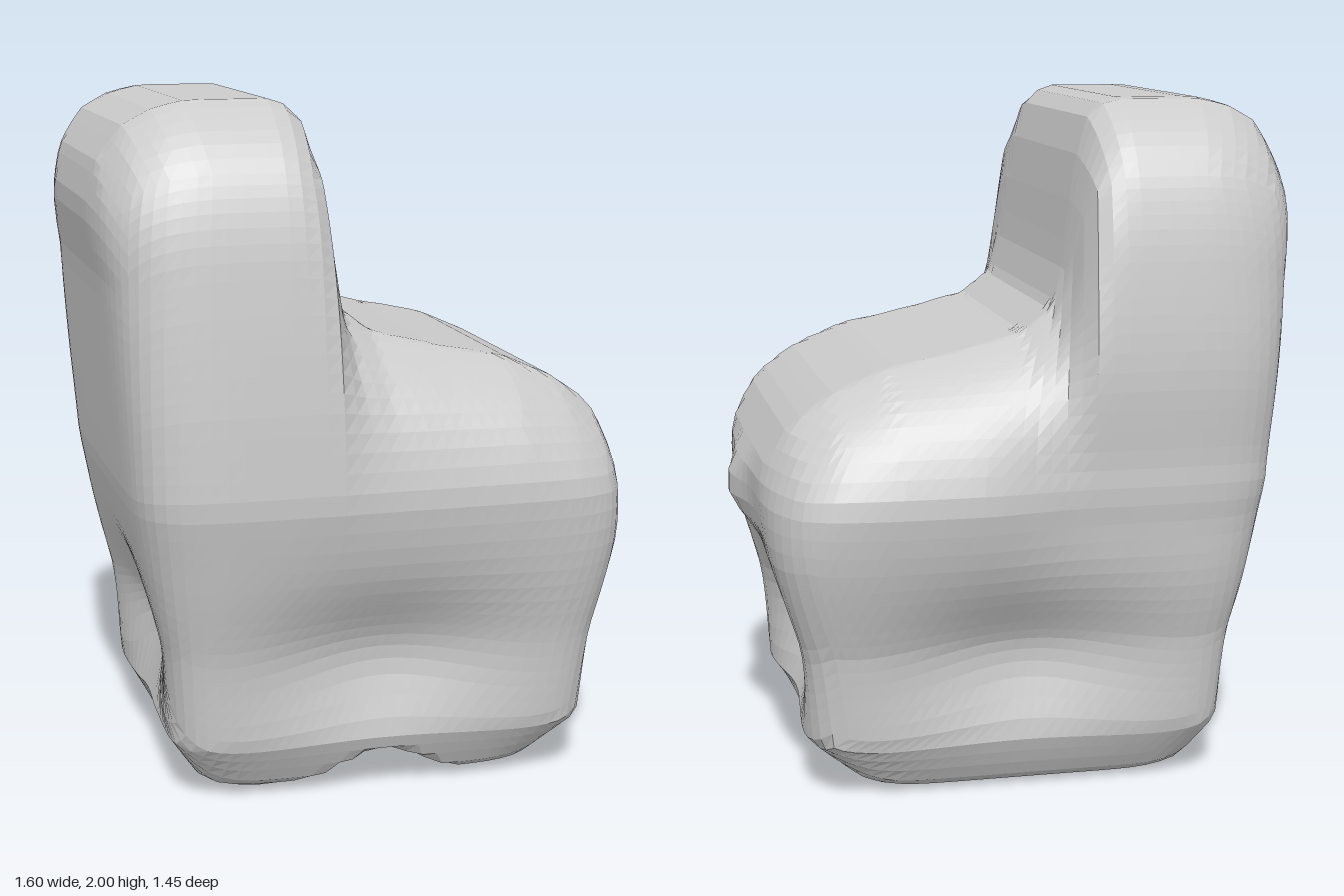
import * as THREE from 'three';

const { smoothstep, lerp } = THREE.MathUtils;
const bell = (value, width) => Math.exp(-((value / width) ** 2));

// Plan size by height: [y, back x, front x, right z, left z]
const PLAN = [
  [0.0, -0.46, 0.42, -0.43, 0.45],
  [0.04, -0.53, 0.49, -0.49, 0.53],
  [0.17, -0.62, 0.64, -0.57, 0.61],
  [0.45, -0.65, 0.675, -0.61, 0.65],
  [0.73, -0.7, 0.735, -0.69, 0.7],
  [0.9, -0.73, 0.75, -0.735, 0.735],
  [1.15, -0.75, 0.75, -0.71, 0.725],
  [1.5, -0.775, 0.75, -0.68, 0.7],
  [1.71, -0.81, 0.75, -0.665, 0.69],
  [2.0, -0.81, 0.75, -0.66, 0.68],
];

// Height of the top from the back, over the backrest and down the seat: [x, y]
const TOP = [
  [-0.82, 1.65], [-0.78, 1.83], [-0.71, 1.93], [-0.62, 1.98], [-0.53, 2],
  [-0.27, 2], [-0.19, 1.93], [-0.16, 1.74], [-0.135, 1.53], [-0.1, 1.41],
  [-0.01, 1.34], [0.19, 1.29], [0.39, 1.25], [0.55, 1.18], [0.66, 1.1],
  [0.73, 0.99], [0.77, 0.92], [0.82, 0.82],
];

// Row of a table at a given first column, blended between its neighbours
function rowAt(table, value) {
  let i = 1;
  while (i < table.length - 1 && table[i][0] < value) i++;
  const [a, b] = [table[i - 1], table[i]];
  const t = THREE.MathUtils.clamp((value - a[0]) / (b[0] - a[0]), 0, 1);
  return a.map((n, c) => lerp(n, b[c], t));
}

function isInside(x, y, z) {
  // Top surface, and the arched underside between the legs
  const depth = rowAt(TOP, x)[1] - y;
  const groove = 0.1 * bell(z, 0.2);
  const frontArch = 0.12 * bell(x, 0.18) * smoothstep(z, -0.3, 0.2);
  if (depth < 0 || y < Math.max(groove, frontArch)) return false;

  let [, back, front, right, left] = rowAt(PLAN, y);
  // Hollows above the floor on all four sides
  const hollow = bell(y - 0.42, 0.2);
  back += 0.1 * hollow * bell(z, 0.33);
  front -= 0.15 * hollow * bell(z, 0.33);
  right += 0.1 * hollow * bell(x, 0.36);
  left -= 0.1 * hollow * bell(x, 0.36);
  // Small swelling on the front edge, and a flatter right side behind it
  front += 0.055 * bell(y - 0.83, 0.1) * bell(z - 0.02, 0.15);
  right += 0.06 * bell(y - 0.9, 0.25) * (1 - smoothstep(x, -0.2, 0.2));
  // Rounded shoulders along the top
  const shoulder = 0.27 * Math.exp(-depth / 0.13);
  right += shoulder;
  left -= shoulder;

  const u = (2 * x - back - front) / (front - back);
  const v = (2 * z - right - left) / (left - right);
  return u ** 8 + v ** 8 < 1;
}

// Shrink a finely divided box onto the chair along rays from a point inside it
function chairGeometry() {
  const geometry = new THREE.BoxGeometry(1.7, 2.1, 1.55, 34, 34, 26);
  geometry.translate(0, 1, 0);
  const inside = new THREE.Vector3(-0.3, 0.85, 0);
  const position = geometry.attributes.position;
  const outer = new THREE.Vector3();
  const point = new THREE.Vector3();
  for (let i = 0; i < position.count; i++) {
    outer.fromBufferAttribute(position, i);
    let near = 0;
    let far = 1;
    for (let n = 0; n < 20; n++) {
      const middle = (near + far) / 2;
      point.lerpVectors(inside, outer, middle);
      if (isInside(point.x, point.y, point.z)) near = middle;
      else far = middle;
    }
    position.setXYZ(i, point.x, point.y, point.z);
  }
  geometry.computeVertexNormals();
  return geometry;
}

export function createModel() {
  const group = new THREE.Group();
  group.name = 'softChair';
  const material = new THREE.MeshStandardMaterial({ color: 0xcccccc, flatShading: true });
  const chair = new THREE.Mesh(chairGeometry(), material);
  chair.name = 'seatAndBackrest';
  group.add(chair);
  return group;
}
